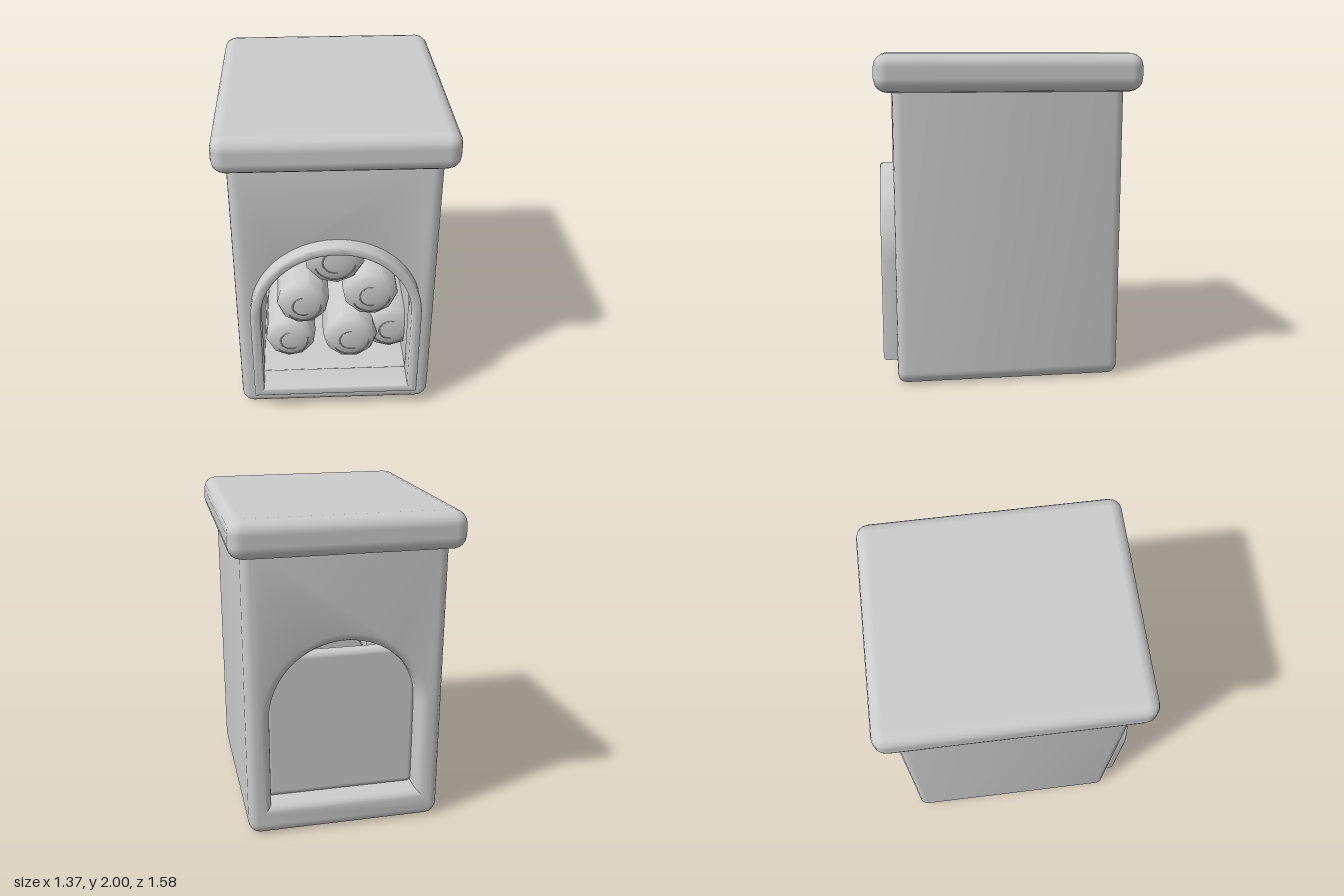
import * as THREE from 'three';
import { toCreasedNormals } from 'three/addons/utils/BufferGeometryUtils.js';
import { RoundedBoxGeometry } from 'three/addons/geometries/RoundedBoxGeometry.js';

const grey = new THREE.MeshStandardMaterial({ color: 0xcccccc });
grey.name = 'plain grey';

function addMesh(parent, name, geometry, x = 0, y = 0, z = 0) {
  const mesh = new THREE.Mesh(geometry, grey);
  mesh.name = name;
  mesh.position.set(x, y, z);
  parent.add(mesh);
  return mesh;
}

// Arched doorway outline: straight sides with a half-round top
const ARCH_Y = 0.77;
function arch(target, half, bottom) {
  target.moveTo(-half, bottom);
  target.lineTo(half, bottom);
  target.lineTo(half, ARCH_Y);
  target.absarc(0, ARCH_Y, half, 0, Math.PI, false);
  target.lineTo(-half, bottom);
  return target;
}

function roundedRect(x, y0, y1, r) {
  const s = new THREE.Shape();
  s.absarc(x - r, y0 + r, r, -Math.PI / 2, 0, false);
  s.absarc(x - r, y1 - r, r, 0, Math.PI / 2, false);
  s.absarc(-x + r, y1 - r, r, Math.PI / 2, Math.PI, false);
  s.absarc(-x + r, y0 + r, r, Math.PI, Math.PI * 1.5, false);
  s.closePath();
  return s;
}

// Bevelled extrusion that spans exactly z0..z1
function slab(shape, z0, z1, bevel) {
  const g = new THREE.ExtrudeGeometry(shape, {
    depth: z1 - z0 - 2 * bevel, bevelEnabled: true, bevelThickness: bevel,
    bevelSize: bevel, bevelOffset: -bevel, bevelSegments: 4, curveSegments: 16,
  });
  g.translate(0, 0, z0 + bevel);
  return toCreasedNormals(g, 0.6);
}

export function createModel() {
  const model = new THREE.Group();
  model.name = 'logStore';

  // Body pierced by an arched tunnel from front to back
  const bodyShape = roundedRect(0.61, 0, 1.86, 0.08);
  bodyShape.holes.push(arch(new THREE.Path(), 0.465, 0.19));
  addMesh(model, 'body', slab(bodyShape, -0.685, 0.685, 0.055));

  // Overhanging lid
  addMesh(model, 'lid', new RoundedBoxGeometry(1.37, 0.225, 1.58, 2, 0.08), 0, 1.8875, 0);

  // Raised frame around the front opening
  const frame = arch(new THREE.Shape(), 0.522, 0.14);
  frame.holes.push(arch(new THREE.Path(), 0.46, 0.2));
  addMesh(model, 'frontFrame', slab(frame, 0.58, 0.77, 0.02));

  // Panel closing most of the rear opening
  addMesh(model, 'backPanel', new RoundedBoxGeometry(0.96, 0.96, 0.09, 3, 0.04), 0, 0.66, -0.51);

  // Stacked logs: x, y, front z, radius, twist
  const logs = [
    [0, 1.04, 0.57, 0.19, 0.1],
    [-0.2, 0.72, 0.59, 0.165, 0.4],
    [0.23, 0.755, 0.55, 0.178, 0.2],
    [-0.285, 0.4, 0.54, 0.165, 0.5],
    [0.105, 0.4, 0.55, 0.178, 0.3],
    [0.37, 0.41, 0.47, 0.178, 0],
  ];
  for (const [x, y, z, r, twist] of logs) {
    const log = new THREE.Group();
    log.name = 'log';
    log.position.set(x, y, z);
    log.rotation.z = twist;
    model.add(log);
    // Ten-sided bark with a chamfered, slightly domed end
    const profile = [[0, -1.02], [0.95, -1.02], [1, -0.97], [1, -0.07], [0.9, -0.035],
      [0.7, -0.012], [0.35, -0.002], [0, 0]].map(([a, b]) => new THREE.Vector2(a * r, b));
    const bark = new THREE.LatheGeometry(profile, 10);
    bark.rotateX(Math.PI / 2);
    addMesh(log, 'logBody', toCreasedNormals(bark, 0.7));
    // Growth rings on the end
    [[0.68, 2.6, 3.4], [0.4, 3.6, 1.2]].forEach(([k, arc, turn]) => {
      const ring = addMesh(log, 'growthRing',
        new THREE.TorusGeometry(r * k, 0.004, 4, 18, arc), 0, 0, k > 0.5 ? -0.01 : -0.002);
      ring.rotation.z = turn;
    });
  }
  return model;
}
